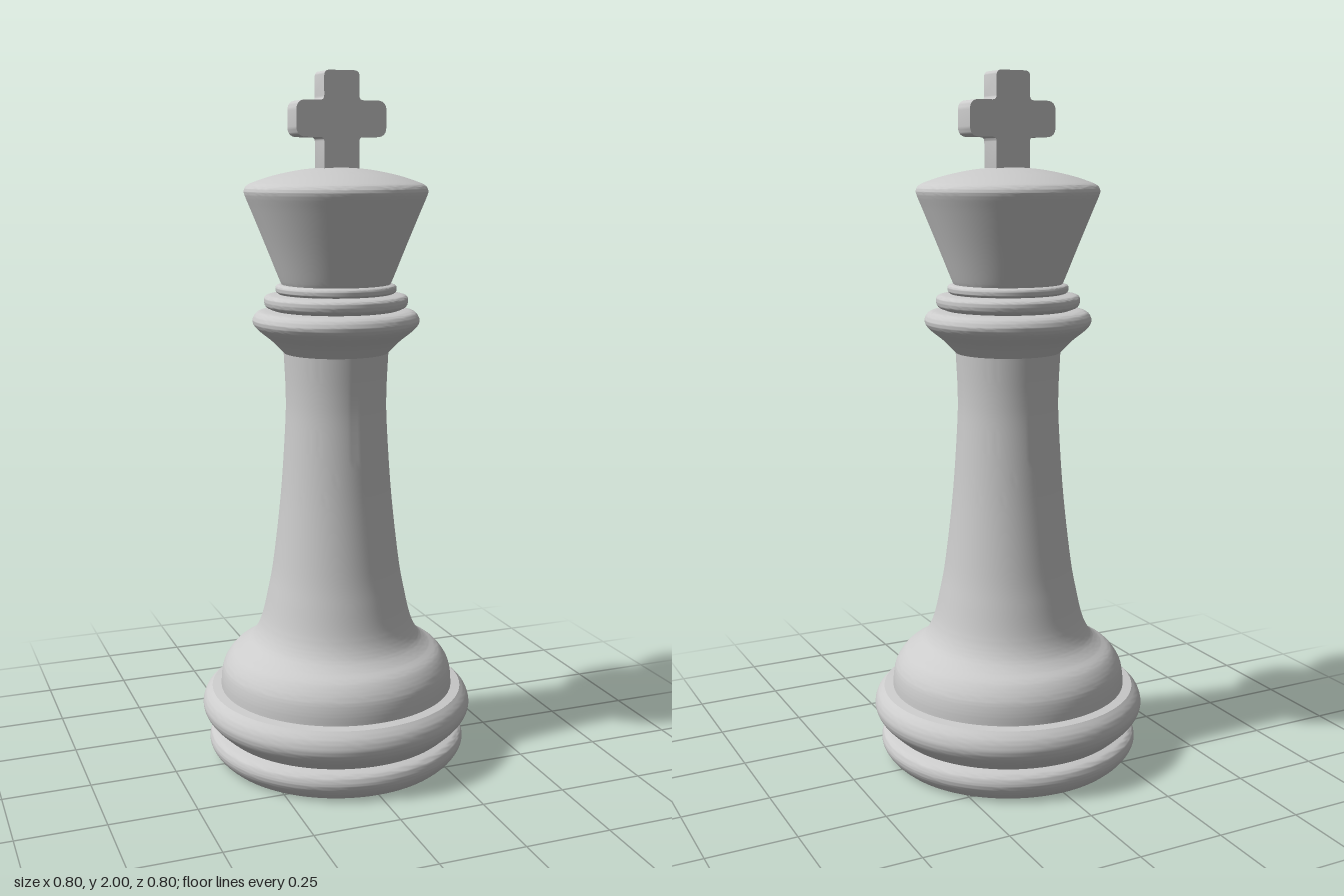
import * as THREE from 'three';
import { toCreasedNormals } from 'three/addons/utils/BufferGeometryUtils.js';

const material = new THREE.MeshStandardMaterial({ color: 0xcccccc, side: THREE.DoubleSide });

// Turned part: [radius, height] points, optionally smoothed by a spline
function turned(name, points, smooth = 0) {
  let profile = points.map(([r, y]) => new THREE.Vector2(r, y));
  if (smooth) profile = new THREE.SplineCurve(profile).getPoints(smooth);
  profile.forEach((p) => { p.x = Math.max(p.x, 0); });
  const lathe = new THREE.LatheGeometry(profile, 96);
  const mesh = new THREE.Mesh(toCreasedNormals(lathe, 0.7), material);
  mesh.name = name;
  return mesh;
}

// Closed outline with every corner rounded by its own radius: [x, y, radius]
function roundedOutline(corners) {
  const shape = new THREE.Shape();
  const n = corners.length;
  corners.forEach(([x, y, r], i) => {
    const c = new THREE.Vector2(x, y);
    const toward = ([px, py]) =>
      new THREE.Vector2(px, py).sub(c).setLength(r).add(c);
    const a = toward(corners[(i + n - 1) % n]);
    const b = toward(corners[(i + 1) % n]);
    if (i === 0) shape.moveTo(a.x, a.y);
    else shape.lineTo(a.x, a.y);
    shape.quadraticCurveTo(x, y, b.x, b.y);
  });
  shape.closePath();
  return shape;
}

function createCross() {
  const s = 0.052, a = 0.133, low = 1.82, high = 1.92;
  const half = [
    [s, 1.7, 0.001], [s, low, 0.012], [a, low, 0.028],
    [a, high, 0.028], [s, high, 0.012], [s, 2, 0.016],
  ];
  const mirrored = half.map(([x, y, r]) => [-x, y, r]).reverse();
  const depth = 0.078;
  const geometry = new THREE.ExtrudeGeometry(roundedOutline([...half, ...mirrored]), {
    depth, bevelEnabled: false, curveSegments: 6,
  });
  geometry.translate(0.003, 0, -depth / 2);
  const mesh = new THREE.Mesh(toCreasedNormals(geometry, 0.6), material);
  mesh.name = 'cross';
  return mesh;
}

export function createModel() {
  const group = new THREE.Group();
  group.name = 'chessKing';

  group.add(
    // Flat underside and the two stacked base mouldings
    turned('underside', [[0, 0], [0.345, 0]]),
    turned('footRing', [[0.345, 0], [0.365, 0.018], [0.379, 0.04], [0.381, 0.058], [0.372, 0.077], [0.345, 0.088]], 24),
    turned('baseRing', [[0.345, 0.087], [0.365, 0.105], [0.39, 0.132], [0.4, 0.16], [0.392, 0.19], [0.372, 0.212]], 24),
    turned('baseLedge', [[0.372, 0.212], [0.345, 0.215]]),
    // Rounded shoulder sweeping into the slender stem
    turned('stem', [
      [0.345, 0.213], [0.343, 0.25], [0.334, 0.285], [0.308, 0.321], [0.272, 0.345], [0.244, 0.373],
      [0.222, 0.42], [0.203, 0.5], [0.185, 0.6], [0.162, 0.8], [0.148, 1.0], [0.146, 1.1], [0.151, 1.215],
    ], 90),
    // Flared collar and the rings above it
    turned('collar', [[0.151, 1.215], [0.185, 1.25], [0.222, 1.28], [0.237, 1.298], [0.238, 1.315], [0.222, 1.333], [0.18, 1.338]], 30),
    turned('collarRing', [[0.18, 1.338], [0.2, 1.347], [0.206, 1.363], [0.2, 1.378], [0.165, 1.384]], 20),
    turned('neckRing', [[0.16, 1.384], [0.17, 1.388], [0.173, 1.397], [0.17, 1.407], [0.152, 1.412]], 16),
    // Tapered crown with a rounded rim and shallow domed top
    turned('crown', [
      [0.152, 1.405], [0.162, 1.425], [0.2, 1.52], [0.24, 1.618], [0.258, 1.662], [0.259, 1.676], [0.252, 1.687],
      [0.235, 1.696], [0.18, 1.714], [0.11, 1.729], [0.05, 1.736], [0, 1.738],
    ], 70),
    createCross(),
  );
  return group;
}
